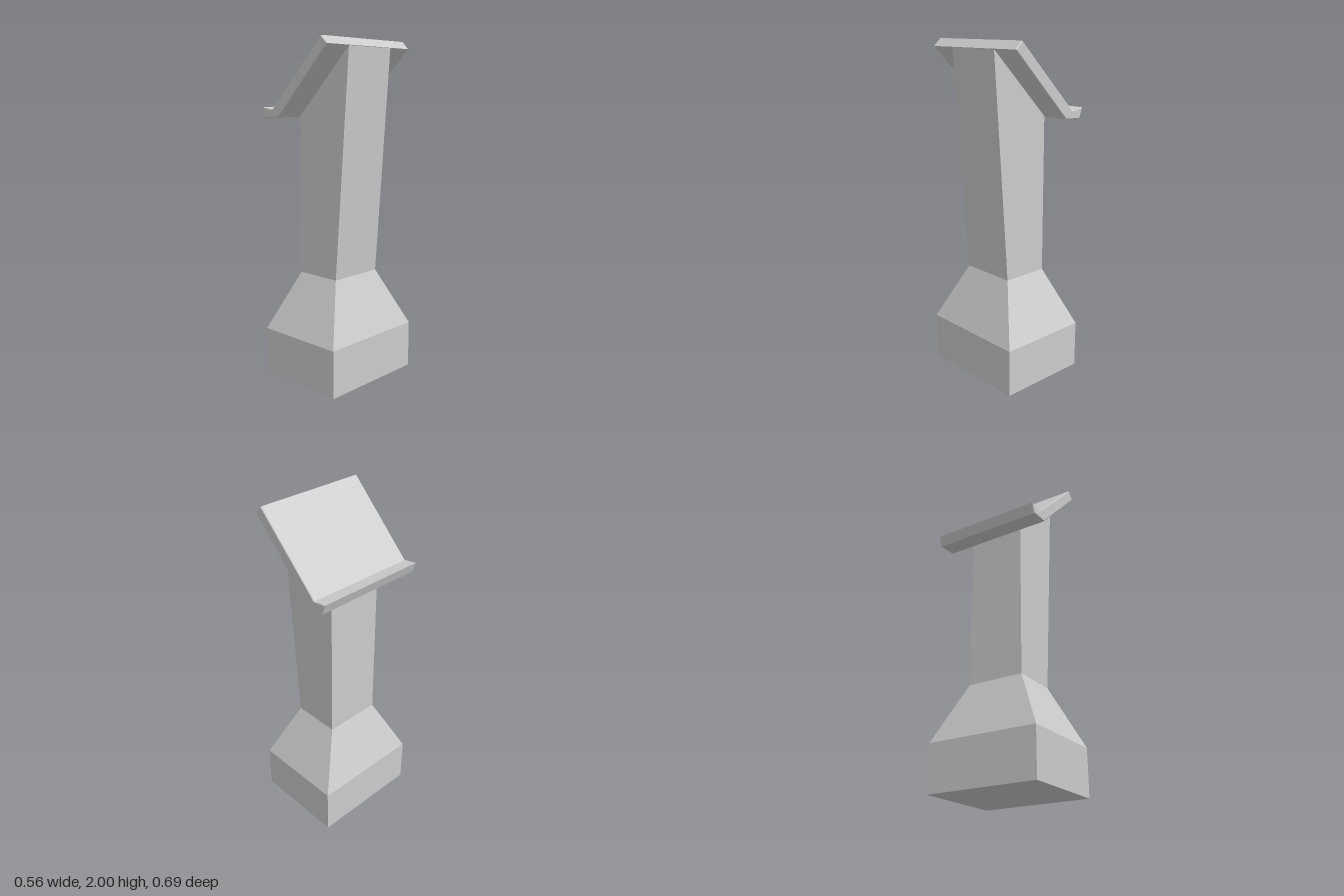
import * as THREE from 'three';

const material = new THREE.MeshStandardMaterial({ color: 0xcccccc, flatShading: true });

// Closed flat-sided solid through four-cornered sections [leftX, leftY, rightX, rightY, halfDepth]
function loft(sections) {
  const rings = sections.map(([lx, ly, rx, ry, d]) => [
    [lx, ly, d], [rx, ry, d], [rx, ry, -d], [lx, ly, -d],
  ]);
  const positions = [];
  const quad = (a, b, c, d) => positions.push(...a, ...b, ...c, ...a, ...c, ...d);
  for (let s = 0; s < rings.length - 1; s++) {
    for (let i = 0; i < 4; i++) {
      const j = (i + 1) % 4;
      quad(rings[s][i], rings[s][j], rings[s + 1][j], rings[s + 1][i]);
    }
  }
  quad(...rings[0].slice().reverse());
  quad(...rings[rings.length - 1]);
  const geometry = new THREE.BufferGeometry();
  geometry.setAttribute('position', new THREE.Float32BufferAttribute(positions, 3));
  geometry.computeVertexNormals();
  return geometry;
}

function addPart(group, name, geometry) {
  const mesh = new THREE.Mesh(geometry, material);
  mesh.name = name;
  group.add(mesh);
}

export function createModel() {
  const group = new THREE.Group();
  group.name = 'lectern';

  // Square plinth tapering in to the column
  addPart(group, 'base', loft([
    [-0.282, 0, 0.282, 0, 0.342],
    [-0.282, 0.282, 0.282, 0.282, 0.342],
    [-0.146, 0.63, 0.142, 0.63, 0.175],
  ]));

  // Column flaring toward the high edge, cut at the slope of the desk
  addPart(group, 'column', loft([
    [-0.146, 0.63, 0.142, 0.63, 0.175],
    [-0.146, 1.567, 0.241, 1.954, 0.175],
  ]));

  // Sloping desk with a turned-up lip, extruded across the depth
  const profile = new THREE.Shape([
    [-0.281, 1.622], [-0.259, 1.56], [-0.147, 1.566],
    [0.243, 1.956], [0.197, 2.0], [-0.198, 1.61],
  ].map(([x, y]) => new THREE.Vector2(x, y)));
  const bevel = 0.004;
  const depth = 0.688 - 2 * bevel;
  const desk = new THREE.ExtrudeGeometry(profile, {
    depth, bevelEnabled: true, bevelSize: bevel, bevelThickness: bevel,
    bevelOffset: -bevel, bevelSegments: 1,
  });
  desk.translate(0, 0, -depth / 2);
  addPart(group, 'desk', desk);

  return group;
}
